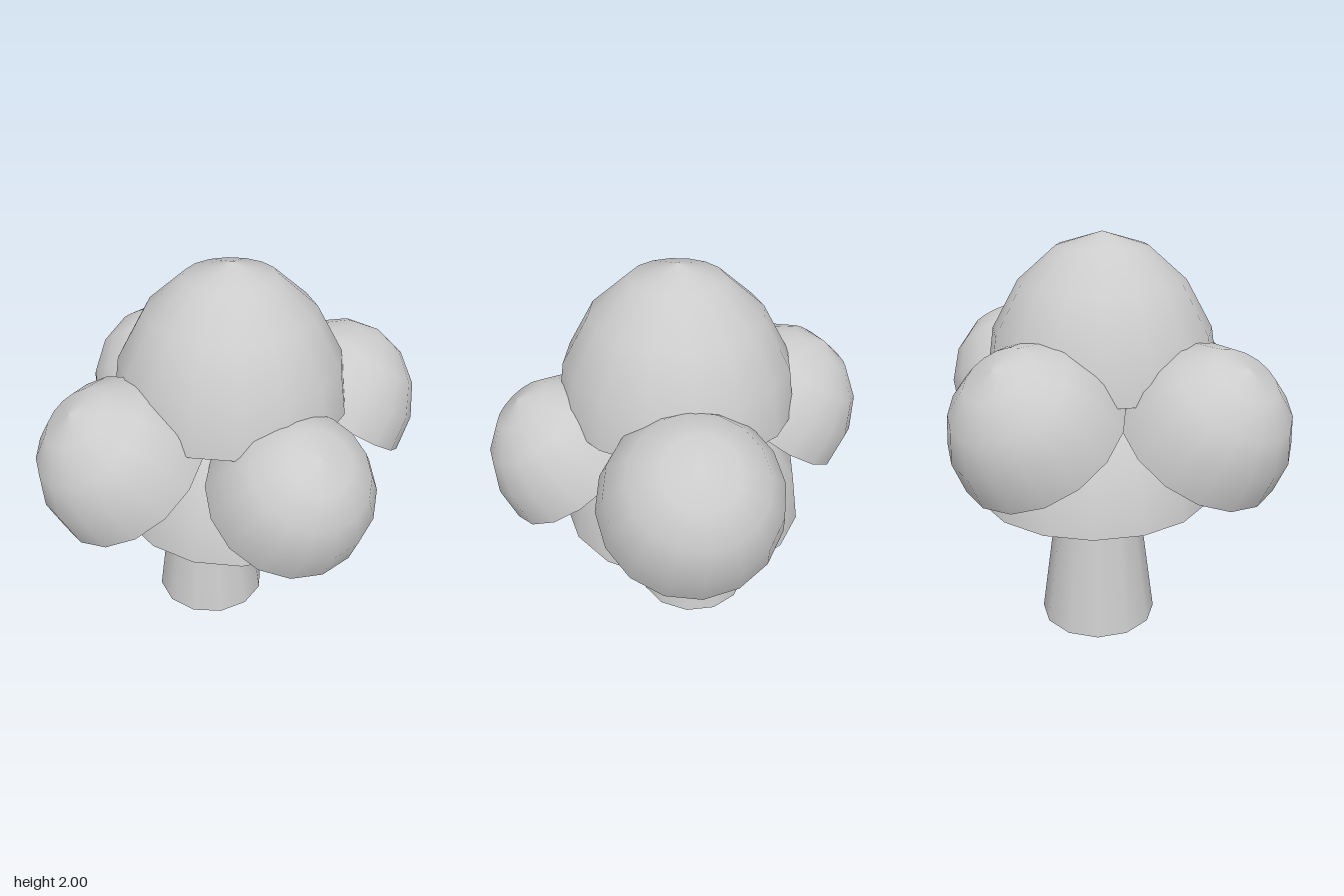
import * as THREE from 'three';

const material = new THREE.MeshStandardMaterial({ color: 0xcccccc, side: THREE.DoubleSide });

// Cap outlines from rim to apex: [share of radius, share of height]
const pointedProfile = [[1, 0], [0.94, 0.33], [0.71, 0.67], [0.385, 0.905], [0, 1]];
const roundProfile = [0, 1, 2, 3, 4].map((i) => {
  const a = (i * Math.PI) / 8;
  return [i === 4 ? 0 : Math.cos(a), Math.sin(a)];
});

// Hollow dome standing on its rim, leaning toward (leanX, leanZ) by tilt radians
function cap(name, profile, radius, height, position, leanX = 0, leanZ = 0, tilt = 0) {
  const points = profile.map(([r, y]) => new THREE.Vector2(r * radius, y * height));
  const mesh = new THREE.Mesh(new THREE.LatheGeometry(points, 16), material);
  mesh.name = name;
  mesh.position.set(...position);
  const out = new THREE.Vector3(leanX, 0, leanZ).normalize().multiplyScalar(Math.sin(tilt));
  out.y = Math.cos(tilt);
  mesh.quaternion.setFromUnitVectors(new THREE.Vector3(0, 1, 0), out);
  return mesh;
}

export function createModel() {
  const model = new THREE.Group();
  model.name = 'mushroomTree';

  // Tapered trunk ending inside the lower cap
  const trunk = new THREE.Mesh(new THREE.CylinderGeometry(0.176, 0.3, 0.92, 12), material);
  trunk.name = 'trunk';
  trunk.position.set(-0.13, 0.46, -0.055);
  model.add(trunk);

  // Two stacked central domes
  model.add(cap('lowerCap', pointedProfile, 0.615, 0.74, [0, 0.67, -0.07]));
  model.add(cap('upperCap', pointedProfile, 0.58, 0.7, [0, 1.3, -0.03]));

  // Four side domes leaning outward
  const tilt = THREE.MathUtils.degToRad(35);
  const sideCaps = [
    ['frontLeftCap', 0.41, 0.45, [0.4, 1.01, 0.3], 1, 1],
    ['frontRightCap', 0.43, 0.46, [-0.36, 1.09, 0.43], -1, 1.1],
    ['backLeftCap', 0.435, 0.48, [0.425, 1.09, -0.43], 1, -1],
    ['backRightCap', 0.43, 0.46, [-0.435, 1.12, -0.31], -1, -1],
  ];
  for (const [name, radius, height, position, x, z] of sideCaps) {
    model.add(cap(name, roundProfile, radius, height, position, x, z, tilt));
  }
  return model;
}
